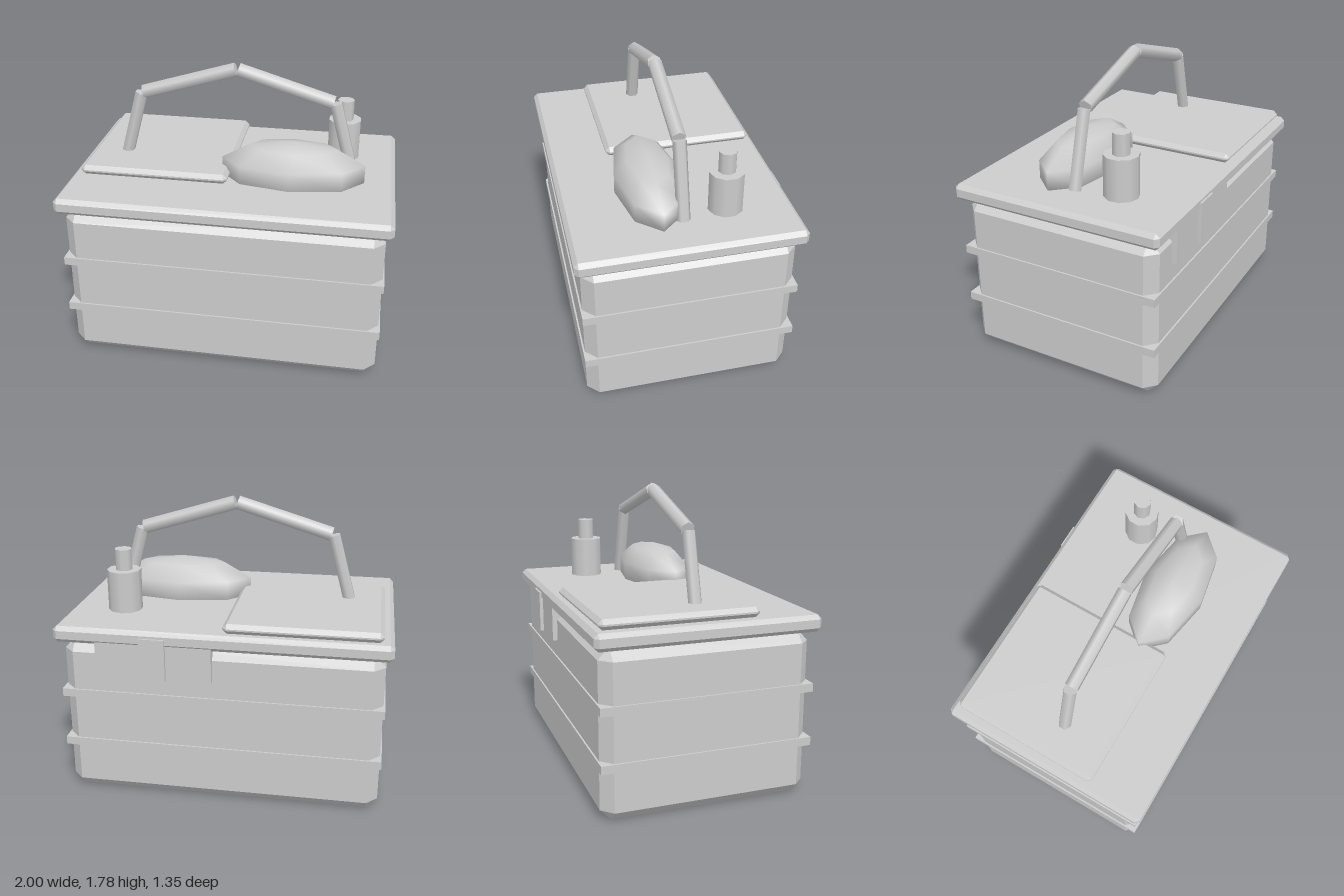
import * as THREE from 'three';
import { ConvexGeometry } from 'three/addons/geometries/ConvexGeometry.js';

const plainGrey = new THREE.MeshStandardMaterial({ color: 0xcccccc });
const Z = 0.005; // middle of the hamper in depth

// Box with every edge cut by a flat chamfer
function chamferBox(w, h, d, c) {
  const points = [];
  for (const x of [-1, 1]) for (const y of [-1, 1]) for (const z of [-1, 1]) {
    for (let axis = 0; axis < 3; axis++) {
      const inset = [c, c, c];
      inset[axis] = 0;
      points.push(new THREE.Vector3(
        x * (w / 2 - inset[0]), y * (h / 2 - inset[1]), z * (d / 2 - inset[2])));
    }
  }
  return new ConvexGeometry(points);
}

export function createModel() {
  const model = new THREE.Group();
  model.name = 'picnicHamper';

  function add(name, geometry, x, y, z, parent = model) {
    const mesh = new THREE.Mesh(geometry, plainGrey);
    mesh.name = name;
    mesh.position.set(x, y, z);
    parent.add(mesh);
    return mesh;
  }

  // Hamper body, its two bands and the lid
  add('body', chamferBox(1.92, 1, 1.255, 0.067), 0, 0.5, Z);
  for (const y of [0.335, 0.665]) {
    add('band', new THREE.BoxGeometry(1.94, 0.05, 1.275), 0, y, Z);
  }
  add('lid', chamferBox(2, 0.1, 1.335, 0.025), 0, 1.05, Z);
  add('lidFlap', chamferBox(0.925, 0.06, 0.94, 0.025), -0.478, 1.13, -0.155);

  // Carrying handle made of four straight hexagonal rods
  const handle = new THREE.Group();
  handle.name = 'handle';
  model.add(handle);
  function rod(name, x0, y0, x1, y1, radius, turn) {
    const dx = x1 - x0, dy = y1 - y0;
    const geometry = new THREE.CylinderGeometry(radius, radius, Math.hypot(dx, dy), 6);
    geometry.rotateY(turn);
    const mesh = add(name, geometry, (x0 + x1) / 2, (y0 + y1) / 2, Z, handle);
    mesh.rotation.z = -Math.atan2(dx, dy);
  }
  for (const s of [-1, 1]) {
    rod('handleLeg', s * 0.73, 1.1, s * 0.607, 1.555, 0.041, 0);
    rod('handleGrip', s * 0.593, 1.56, s * 0.008, 1.736, 0.044, Math.PI / 6);
  }

  // Bread loaf, sunk a little into the lid
  const loaf = add('loaf', new THREE.SphereGeometry(1, 8, 5), 0.37, 1.155, 0.137);
  loaf.scale.set(0.463, 0.19, 0.21);

  // Bottle
  add('bottleBody', new THREE.CylinderGeometry(0.105, 0.105, 0.255, 10), 0.66, 1.2275, -0.262);
  add('bottleNeck', new THREE.CylinderGeometry(0.053, 0.053, 0.13, 8), 0.66, 1.42, -0.262);

  // Cloth hanging at the back, with a raised middle strip
  add('cloth', new THREE.BoxGeometry(0.7, 0.26, 0.05), 0.393, 0.93, -0.628);
  add('clothStrip', new THREE.BoxGeometry(0.155, 0.26, 0.07), 0.393, 0.93, -0.64);

  return model;
}
